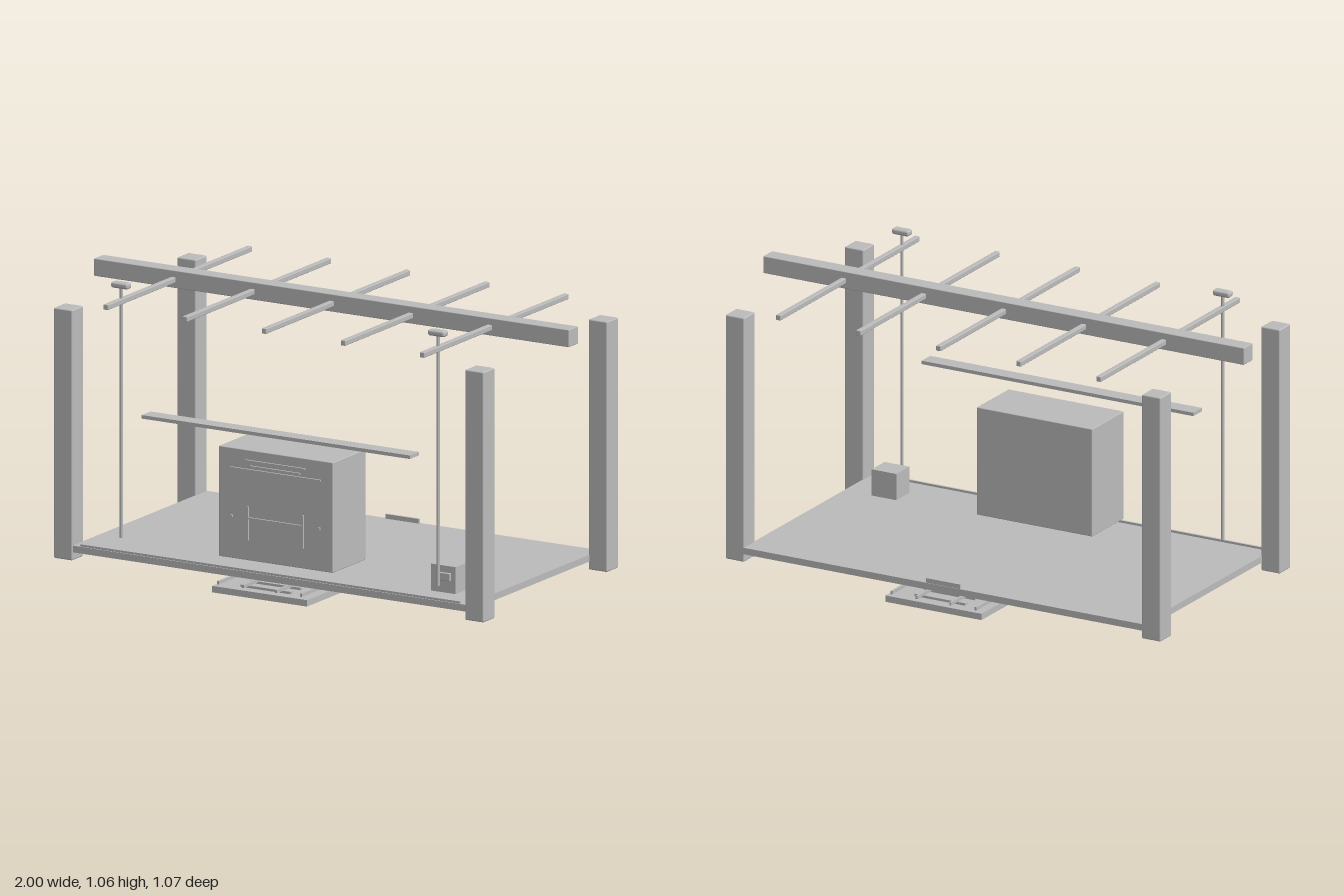
import * as THREE from 'three';
import { RoundedBoxGeometry } from 'three/addons/geometries/RoundedBoxGeometry.js';

export function createModel() {
  const model = new THREE.Group();
  model.name = 'framedPlatform';
  const grey = new THREE.MeshStandardMaterial({ color: 0xbcbcbc });
  grey.name = 'plain grey';

  const add = (name, geometry, x, y, z) => {
    const mesh = new THREE.Mesh(geometry, grey);
    mesh.name = name;
    mesh.position.set(x, y, z);
    model.add(mesh);
    return mesh;
  };
  // Box given by its lower and upper limits; bevel rounds the edges
  const box = (name, [x0, x1], [y0, y1], [z0, z1], bevel = 0) => {
    const size = [x1 - x0, y1 - y0, z1 - z0];
    const geometry = bevel
      ? new RoundedBoxGeometry(...size, 2, bevel)
      : new THREE.BoxGeometry(...size);
    return add(name, geometry, (x0 + x1) / 2, (y0 + y1) / 2, (z0 + z1) / 2);
  };

  // Deck with a thin front strip and a small rear sill
  box('deck', [-0.83, 0.83], [0.05, 0.075], [-0.468, 0.462]);
  box('frontStrip', [-0.8, 0.8], [0.075, 0.083], [0.45, 0.458]);
  box('rearSill', [-0.07, 0.07], [0.075, 0.092], [-0.466, -0.458]);

  // Corner posts
  for (const sx of [-1, 1]) {
    for (const sz of [-1, 1]) {
      const post = new RoundedBoxGeometry(0.078, 0.93, 0.079, 2, 0.005);
      add('cornerPost', post, sx * 0.866, 0.485, sz * 0.428);
    }
  }

  // Ridge beam and cross bars
  box('ridgeBeam', [-1, 1], [0.96, 1.025], [-0.032, 0.032], 0.003);
  for (let i = -2; i <= 2; i++) {
    const x = i * 0.333;
    box('crossBar', [x - 0.01, x + 0.01], [0.98, 1.0], [-0.5, 0.5], 0.003);
  }

  // Hanging rods with caps
  for (const x of [-0.667, 0.667]) {
    add('hangingRod', new THREE.CylinderGeometry(0.006, 0.006, 0.94, 12), x, 0.58, 0.39);
    box('rodCap', [x - 0.035, x + 0.035], [1.038, 1.06], [0.373, 0.408], 0.008);
  }

  // Long shelf
  box('shelf', [-0.565, 0.565], [0.572, 0.585], [0.355, 0.417]);

  // Cabinet and the details on its front
  box('cabinet', [-0.24, 0.24], [0.105, 0.515], [0.19, 0.417], 0.003);
  const front = [0.415, 0.424];
  box('ventSlat', [-0.125, 0.125], [0.473, 0.479], front);
  box('ventSlat', [-0.105, 0.105], [0.453, 0.459], front);
  box('ventSlat', [-0.19, 0.19], [0.439, 0.445], front);
  box('panelBar', [-0.115, 0.115], [0.26, 0.266], front);
  for (const s of [-1, 1]) {
    box('panelUpright', [s * 0.115 - 0.003, s * 0.115 + 0.003], [0.18, 0.305], front);
    box('panelStud', [s * 0.185 - 0.004, s * 0.185 + 0.004], [0.259, 0.267], front);
  }

  // Small box with a latch
  box('smallBox', [0.612, 0.715], [0.075, 0.175], [0.255, 0.348]);
  box('smallBoxLatch', [0.638, 0.696], [0.12, 0.15], [0.346, 0.357], 0.003);

  // Track bed under the deck with rails and sleepers
  box('trackBed', [-0.2, 0.2], [0, 0.024], [-0.535, 0.53]);
  for (const x of [-0.175, -0.07, 0.07, 0.175]) {
    box('rail', [x - 0.004, x + 0.004], [0.033, 0.045], [-0.535, 0.53]);
  }
  for (let i = -7; i <= 7; i++) {
    const z = i * 0.0686;
    box('sleeper', [-0.105, 0.105], [0.024, 0.033], [z - 0.008, z + 0.008]);
  }
  return model;
}
